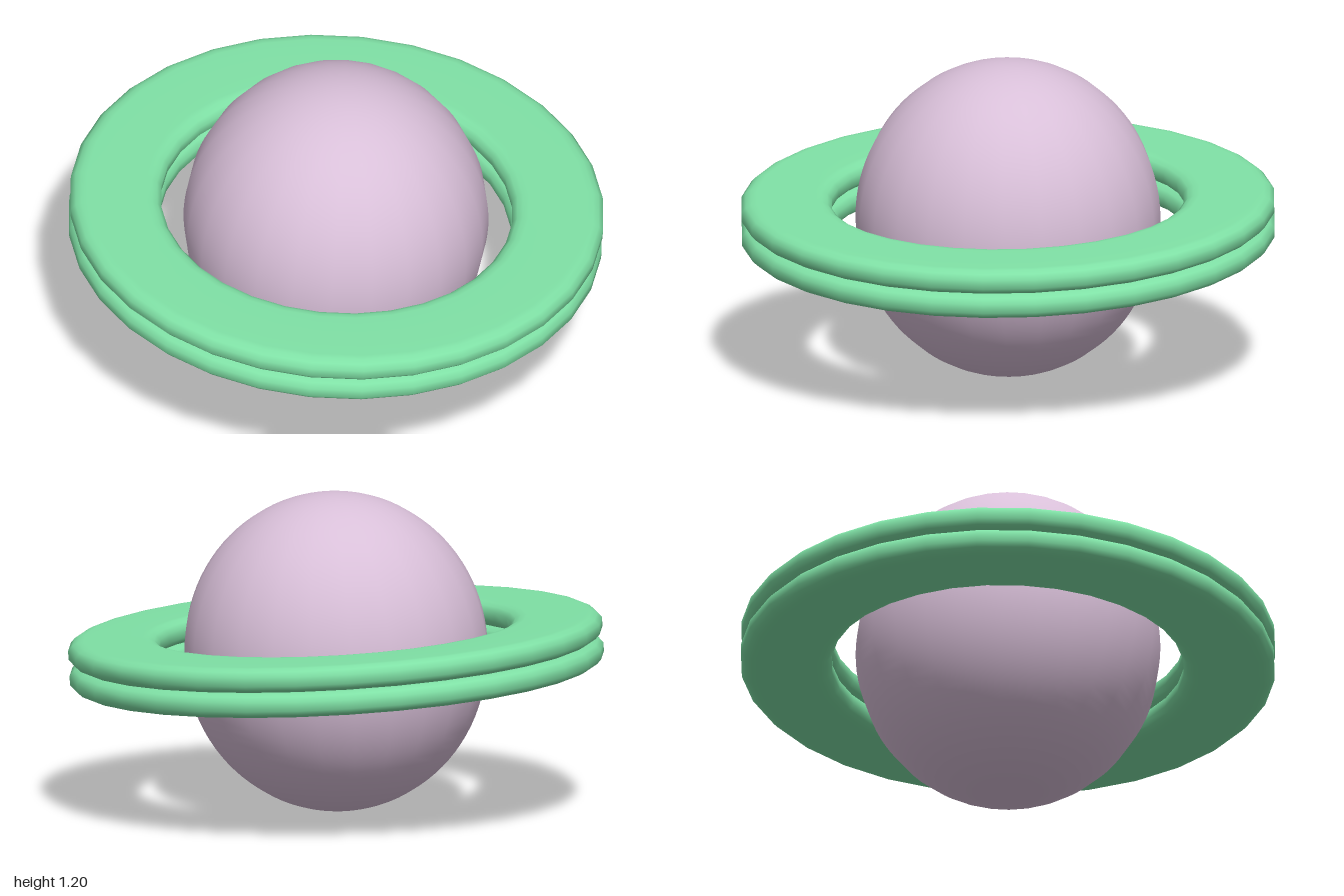
import * as THREE from 'three';

export function createModel() {
  const model = new THREE.Group();
  model.name = 'ringedPlanet';
  model.position.y = 0.605;
  model.rotation.set(0.041, 0, -0.041);

  // Planet, slightly taller than wide
  const planet = new THREE.Mesh(
    new THREE.SphereGeometry(0.57, 24, 48),
    new THREE.MeshStandardMaterial({ color: 0xd8bfd8 })
  );
  planet.name = 'planet';
  planet.scale.y = 0.6 / 0.57;
  model.add(planet);

  // Flat ring section with rounded edges, turned around the vertical axis
  const middle = 0.83, halfWidth = 0.17, halfHeight = 0.0475;
  const edge = [[0.91, -1], [0.65, -1], [0.78, -0.95], [0.9, -0.74], [1, -0.36],
    [1, 0.36], [0.9, 0.74], [0.78, 0.95], [0.65, 1]].slice(1);
  const at = (u, v) => new THREE.Vector2(middle + u * halfWidth, v * halfHeight);
  const profile = [
    at(0, -1),
    ...edge.map(([u, v]) => at(u, v)),
    at(0, 1),
    ...edge.map(([u, v]) => at(-u, -v)),
    at(0, -1),
  ];
  const ringGeometry = new THREE.LatheGeometry(profile, 32);
  const ringMaterial = new THREE.MeshStandardMaterial({ color: 0x7fe0a5 });

  // Two rings stacked with a groove between them
  for (const side of [1, -1]) {
    const ring = new THREE.Mesh(ringGeometry, ringMaterial);
    ring.name = side > 0 ? 'upperRing' : 'lowerRing';
    ring.position.y = side * halfHeight;
    model.add(ring);
  }

  const root = new THREE.Group();
  root.name = 'planetModel';
  root.add(model);
  return root;
}
